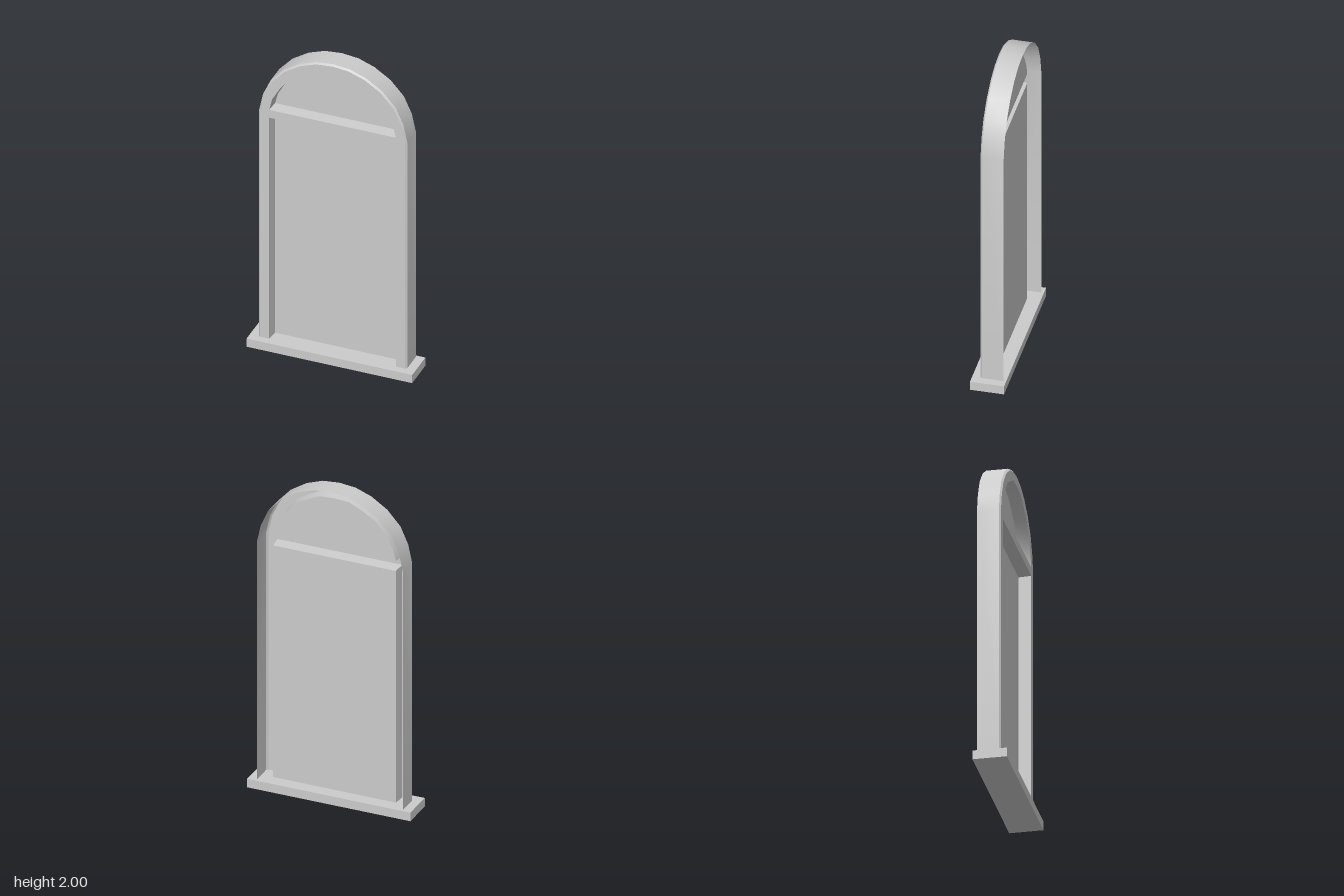
import * as THREE from 'three';
import { toCreasedNormals } from 'three/addons/utils/BufferGeometryUtils.js';

const SILL_TOP = 0.055, SPRING = 1.58;
const BACK = -0.085, EDGE = 0.043, FRONT = 0.053, PANE = -0.02;

const material = new THREE.MeshStandardMaterial({ color: 0xcccccc, side: THREE.DoubleSide });

function add(group, name, geometry) {
  const mesh = new THREE.Mesh(geometry, material);
  mesh.name = name;
  group.add(mesh);
  return mesh;
}

// Mirrors a half outline (right side, bottom to crown) into a full one
function mirrored(half) {
  const left = half.filter(([x]) => x > 0).reverse().map(([x, y]) => [-x, y]);
  return [...half, ...left];
}

// Shrinks an outline towards the centre line and a base height
function inset(points, sx, sy, base) {
  return points.map(([x, y]) => [x * sx, y > base ? base + (y - base) * sy : y]);
}

// Surface strip joining successive sections, each { points, z }
function strip(sections, closed = false) {
  const n = sections[0].points.length;
  const positions = [], index = [];
  for (const { points, z } of sections) for (const [x, y] of points) positions.push(x, y, z);
  for (let s = 0; s < sections.length - 1; s++) {
    for (let i = 0; i < (closed ? n : n - 1); i++) {
      const j = (i + 1) % n;
      const a = s * n + i, b = s * n + j, c = a + n, d = b + n;
      index.push(a, b, d, a, d, c);
    }
  }
  const geometry = new THREE.BufferGeometry();
  geometry.setAttribute('position', new THREE.Float32BufferAttribute(positions, 3));
  geometry.setIndex(index);
  return toCreasedNormals(geometry, 0.6);
}

const toVectors = (points) => points.map(([x, y]) => new THREE.Vector2(x, y));

function flat(points, z, holes = []) {
  const shape = new THREE.Shape(toVectors(points));
  for (const hole of holes) shape.holes.push(new THREE.Path(toVectors(hole)));
  return new THREE.ShapeGeometry(shape).translate(0, 0, z);
}

export function createModel() {
  const group = new THREE.Group();
  group.name = 'archedWindow';

  // Outlines of the frame and its two openings
  const outer = mirrored([
    [0.457, SILL_TOP], [0.457, SPRING], [0.432, 1.695], [0.384, 1.8],
    [0.302, 1.89], [0.203, 1.954], [0.103, 1.99], [0, 2],
  ]);
  const outerFront = inset(outer, 0.978, 0.976, SPRING);
  const arch = mirrored([
    [0.39, 1.603], [0.372, 1.678], [0.325, 1.76],
    [0.262, 1.84], [0.178, 1.888], [0.095, 1.928], [0, 1.934],
  ]);
  const archBack = inset(arch, 0.983, 0.983, 1.603).map(([x, y]) => [x, Math.max(y, 1.608)]);
  const opening = mirrored([[0.39, SILL_TOP], [0.39, 1.55]]);
  const openingBack = mirrored([[0.384, SILL_TOP], [0.384, 1.544]]);

  // Sill slab
  add(group, 'sill', new THREE.BoxGeometry(1.02, SILL_TOP, 0.2)).position.y = SILL_TOP / 2;

  // Thin outer wall with a chamfered front edge, open at the back
  add(group, 'frameWall', strip([{ points: outer, z: BACK }, { points: outer, z: EDGE }]));
  add(group, 'frameChamfer', strip([{ points: outer, z: EDGE }, { points: outerFront, z: FRONT }]));

  // Front face: the lower opening is a notch, the arched one a hole
  add(group, 'frameFace', flat([...outerFront, ...[...opening].reverse()], FRONT, [arch]));

  // Reveals running back to the panes
  add(group, 'archReveal', strip([{ points: arch, z: FRONT }, { points: archBack, z: PANE }], true));
  add(group, 'openingReveal', strip([{ points: opening, z: FRONT }, { points: openingBack, z: PANE }]));

  // Panes
  add(group, 'archPane', flat(archBack, PANE));
  add(group, 'lowerPane', flat(openingBack, PANE));

  return group;
}
